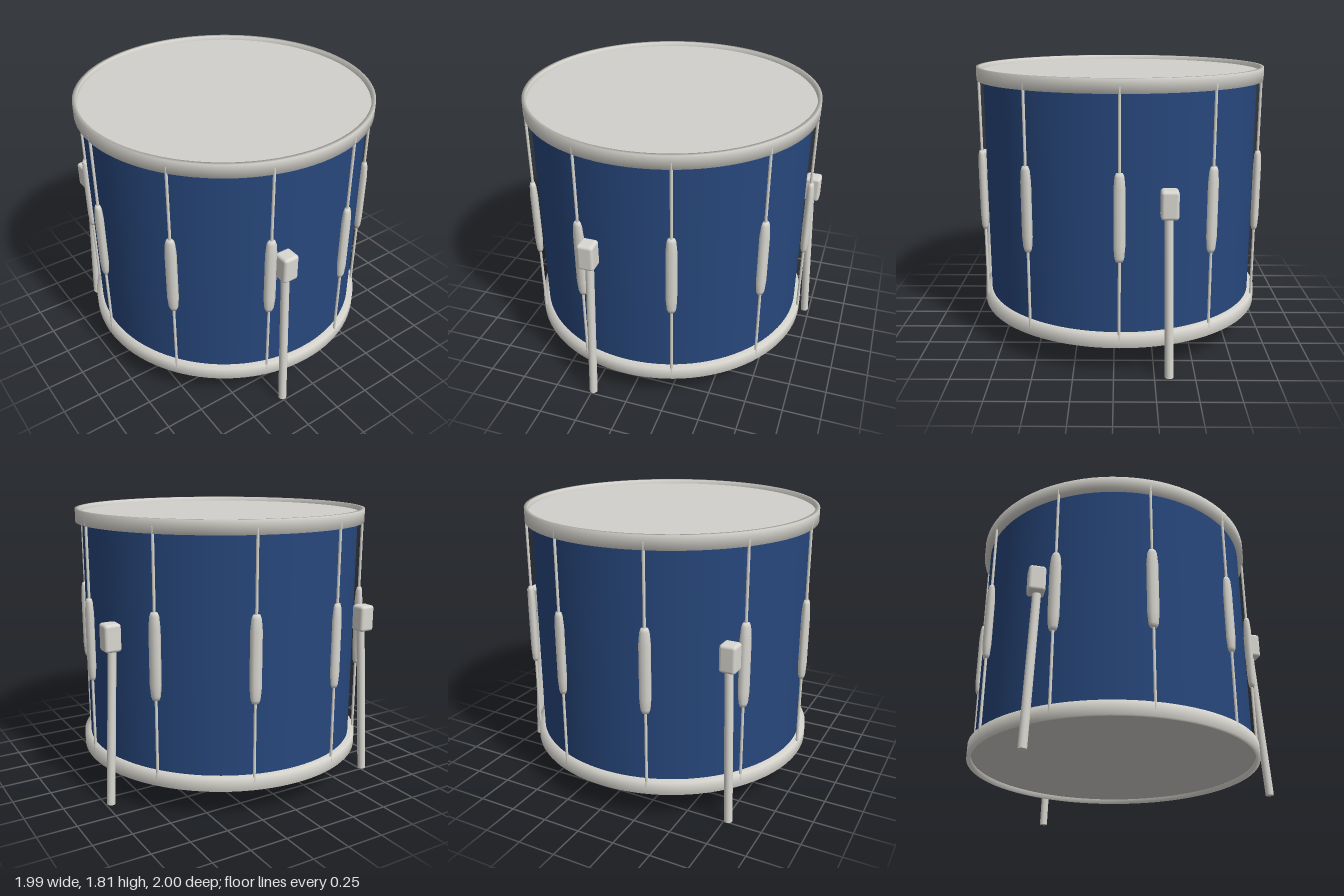
import * as THREE from 'three';
import { RoundedBoxGeometry } from 'three/addons/geometries/RoundedBoxGeometry.js';

const mat = (name, color) => new THREE.MeshStandardMaterial({ name, color });

export function createModel() {
  const model = new THREE.Group();
  model.name = 'floorTom';
  const blue = mat('shellBlue', 0x27477c);
  const chrome = mat('chrome', 0xd9d7d0);
  const skin = mat('drumSkin', 0xd2d0cb);

  const add = (parent, name, geometry, material, x = 0, y = 0, z = 0) => {
    const mesh = new THREE.Mesh(geometry, material);
    mesh.name = name;
    mesh.position.set(x, y, z);
    parent.add(mesh);
    return mesh;
  };

  // Drum body, built around its own centre
  const drum = new THREE.Group();
  drum.name = 'drum';
  drum.position.set(-0.017, 0.9985, -0.034);
  model.add(drum);
  add(drum, 'shell', new THREE.CylinderGeometry(0.92, 0.92, 1.55, 96, 1, true), blue);

  // Hoop and skin, mirrored for top and bottom
  const hoopGeo = new THREE.LatheGeometry([
    [0.915, 0.729], [0.9635, 0.729], [0.9635, 0.8145], [0.938, 0.8145], [0.938, 0.77],
  ].map(([r, y]) => new THREE.Vector2(r, y)), 96);
  const skinGeo = new THREE.CircleGeometry(0.94, 96).rotateX(-Math.PI / 2).translate(0, 0.785, 0);
  for (const [side, s] of [['top', 1], ['bottom', -1]]) {
    add(drum, side + 'Hoop', hoopGeo, chrome).scale.y = s;
    add(drum, side + 'Skin', skinGeo, skin).scale.y = s;
  }

  // Ten tension rods, each through a slim tapered lug
  const rodGeo = new THREE.CylinderGeometry(0.009, 0.009, 1.54, 10);
  const lugGeo = new THREE.LatheGeometry([
    [0, -0.27], [0.022, -0.268], [0.031, -0.245], [0.038, -0.17],
    [0.038, 0.17], [0.031, 0.245], [0.022, 0.268], [0, 0.27],
  ].map(([r, y]) => new THREE.Vector2(r, y)), 8);
  lugGeo.rotateY(Math.PI / 8).scale(0.7, 1, 1);
  for (let i = 0; i < 10; i++) {
    const station = new THREE.Group();
    station.name = 'tensionStation' + (i + 1);
    station.rotation.y = i * Math.PI / 5;
    add(station, 'tensionRod', rodGeo, chrome, 0.956, 0.001, 0);
    add(station, 'lug', lugGeo, chrome, 0.957, 0.008, 0);
    drum.add(station);
  }

  // Three splayed legs with square clamps
  const clampGeo = new RoundedBoxGeometry(0.107, 0.175, 0.107, 3, 0.02);
  const up = new THREE.Vector3(0, 1, 0);
  for (let i = 0; i < 3; i++) {
    const a = THREE.MathUtils.degToRad(102.7 + 120 * i);
    const at = (r, y) => new THREE.Vector3(-0.017 + r * Math.cos(a), y, -0.034 + r * Math.sin(a));
    const foot = at(1.03, 0.001), top = at(0.972, 1.08);
    const dir = top.clone().sub(foot);
    const mid = foot.clone().add(top).multiplyScalar(0.5);
    const leg = add(model, 'leg' + (i + 1),
      new THREE.CylinderGeometry(0.027, 0.027, dir.length(), 20), chrome, mid.x, mid.y, mid.z);
    leg.quaternion.setFromUnitVectors(up, dir.normalize());
    const c = at(0.985, 1.088);
    add(model, 'legClamp' + (i + 1), clampGeo, chrome, c.x, c.y, c.z);
  }
  return model;
}
